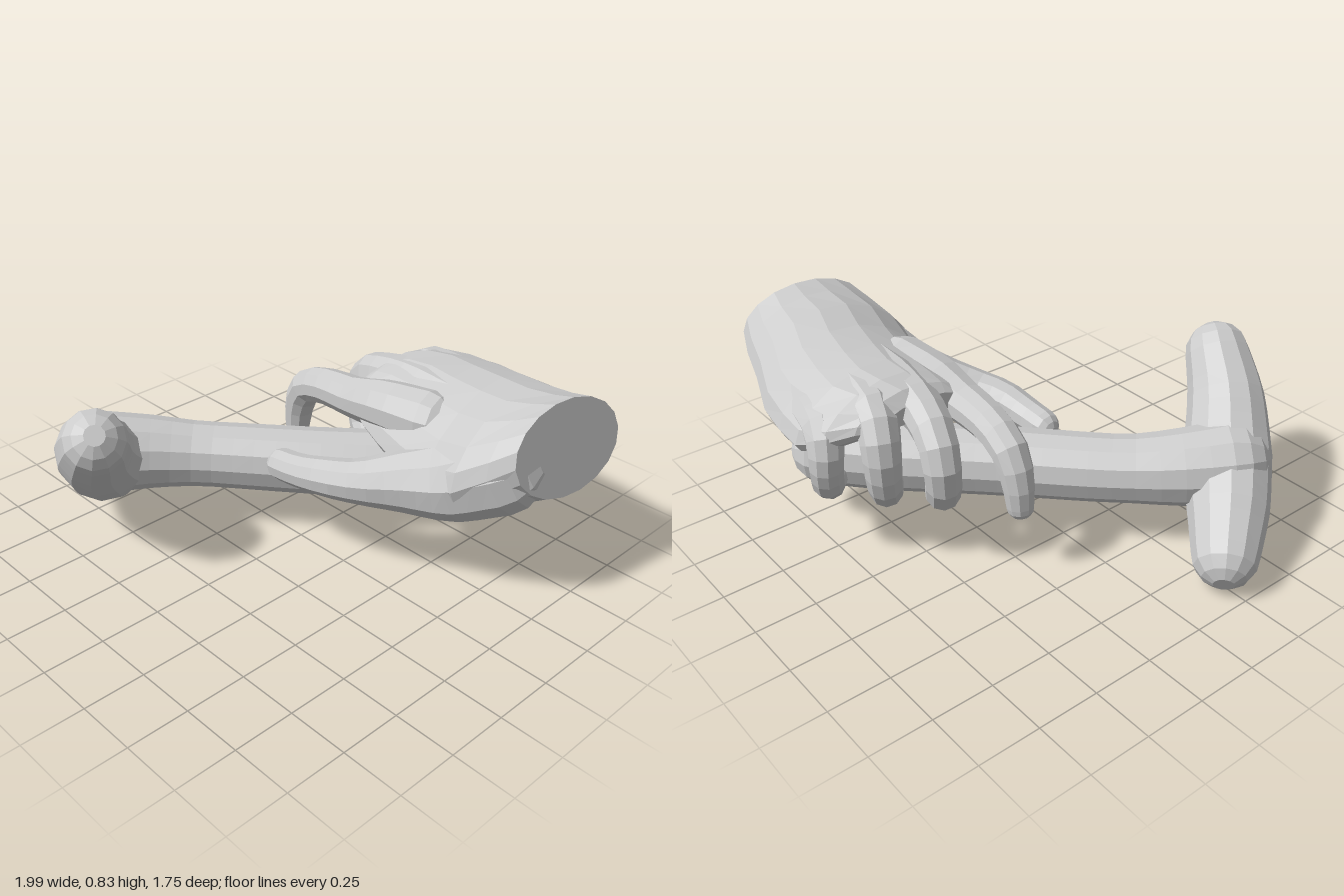
import * as THREE from 'three';

const material = new THREE.MeshStandardMaterial({ color: 0xcccccc, flatShading: true });

// Skin a list of rings (each an array of Vector3), closing both ends with a fan.
function skin(name, rings) {
  const n = rings[0].length, pos = [], idx = [];
  rings.forEach(r => r.forEach(p => pos.push(p.x, p.y, p.z)));
  for (let i = 0; i < rings.length - 1; i++) {
    for (let j = 0; j < n; j++) {
      const k = (j + 1) % n, a = i * n + j, b = i * n + k;
      idx.push(a, b, a + n, b, b + n, a + n);
    }
  }
  for (const end of [0, rings.length - 1]) {
    const c = new THREE.Vector3();
    rings[end].forEach(p => c.addScaledVector(p, 1 / n));
    const m = pos.length / 3;
    pos.push(c.x, c.y, c.z);
    for (let j = 0; j < n; j++) {
      const a = end * n + j, b = end * n + (j + 1) % n;
      idx.push(...(end ? [m, a, b] : [m, b, a]));
    }
  }
  const g = new THREE.BufferGeometry();
  g.setAttribute('position', new THREE.Float32BufferAttribute(pos, 3));
  g.setIndex(idx);
  g.computeVertexNormals();
  const mesh = new THREE.Mesh(g, material);
  mesh.name = name;
  return mesh;
}

// Round-ended tapering limb; each point is [x, y, z, radius].
function limb(name, pts, sides = 10, steps = 12) {
  const curve = new THREE.CatmullRomCurve3(pts.map(p => new THREE.Vector3(p[0], p[1], p[2])));
  const { tangents, normals, binormals } = curve.computeFrenetFrames(steps);
  const rings = [];
  const addRing = (i, bulge) => {
    const t = curve.getUtoTmapping(i / steps) * (pts.length - 1);
    const s = Math.min(Math.floor(t), pts.length - 2);
    const r = THREE.MathUtils.lerp(pts[s][3], pts[s + 1][3], t - s);
    const c = curve.getPointAt(i / steps).addScaledVector(tangents[i], r * Math.sin(bulge));
    const ring = [];
    for (let j = 0; j < sides; j++) {
      const a = j / sides * Math.PI * 2, q = r * Math.cos(bulge);
      ring.push(c.clone().addScaledVector(normals[i], q * Math.cos(a))
        .addScaledVector(binormals[i], q * Math.sin(a)));
    }
    rings.push(ring);
  };
  for (const b of [-1.25, -0.85, -0.42]) addRing(0, b);
  for (let i = 0; i <= steps; i++) addRing(i, 0);
  for (const b of [0.42, 0.85, 1.25]) addRing(steps, b);
  return skin(name, rings);
}

// Palm sections: [x, y, z, half width, half height, tilt, arch, slant]
function palm() {
  const sections = [
    [0.945, 0.65, -0.435, 0.265, 0.18, 0, 0, 1],
    [0.85, 0.615, -0.43, 0.31, 0.19, -0.01, 0.02, 0.7],
    [0.72, 0.585, -0.425, 0.355, 0.2, -0.03, 0.05, 0.3],
    [0.56, 0.575, -0.465, 0.38, 0.185, -0.03, 0.08, 0],
    [0.4, 0.59, -0.495, 0.375, 0.155, -0.02, 0.09, 0],
    [0.27, 0.605, -0.515, 0.36, 0.135, -0.01, 0.1, 0],
    [0.16, 0.62, -0.5, 0.32, 0.11, -0.01, 0.08, 0],
    [0.08, 0.63, -0.47, 0.26, 0.075, -0.01, 0.05, 0],
    [0.04, 0.625, -0.45, 0.2, 0.04, 0, 0.03, 0]
  ];
  const sides = 18;
  return skin('palm', sections.map(([x, y, z, hz, hy, tilt, arch, slant]) => {
    const ring = [];
    for (let j = 0; j < sides; j++) {
      const a = j / sides * Math.PI * 2, u = Math.cos(a), v = Math.sin(a);
      const dy = v * hy + tilt * u - arch * u * u;
      ring.push(new THREE.Vector3(x - slant * (0.22 * dy + 0.13 * u * hz), y + dy, z + u * hz));
    }
    return ring;
  }));
}

export function createModel() {
  const model = new THREE.Group();
  model.name = 'handHoldingHandle';

  // T-shaped handle: a slanted grip bar and the long shaft
  const handle = new THREE.Group();
  handle.name = 'handle';
  handle.add(
    limb('crossbar', [
      [-0.87, 0.13, 0.265, 0.13], [-0.75, 0.215, 0.4, 0.16], [-0.6, 0.335, 0.545, 0.175],
      [-0.46, 0.48, 0.67, 0.155], [-0.33, 0.605, 0.745, 0.13]], 12, 14),
    limb('shaft', [
      [-0.64, 0.33, 0.5, 0.17], [-0.55, 0.32, 0.37, 0.155], [-0.4, 0.305, 0.2, 0.135],
      [0, 0.292, -0.165, 0.14], [0.3, 0.287, -0.46, 0.142], [0.485, 0.29, -0.635, 0.14]], 12, 18)
  );

  // Hand gripping the shaft
  const hand = new THREE.Group();
  hand.name = 'hand';
  hand.add(
    palm(),
    limb('thumb', [
      [0.78, 0.55, -0.28, 0.17], [0.61, 0.46, -0.205, 0.16], [0.46, 0.43, -0.11, 0.125],
      [0.32, 0.41, 0, 0.088], [0.2, 0.4, 0.055, 0.078], [0.08, 0.38, 0.075, 0.068],
      [-0.02, 0.37, 0.08, 0.066]], 10, 14),
    limb('indexFinger', [
      [0.4, 0.6, -0.3, 0.12], [0.2, 0.595, -0.27, 0.105], [0.05, 0.575, -0.26, 0.085],
      [-0.12, 0.56, -0.265, 0.077], [-0.25, 0.51, -0.275, 0.073], [-0.305, 0.41, -0.28, 0.065],
      [-0.32, 0.3, -0.28, 0.054]]),
    limb('middleFinger', [
      [0.4, 0.61, -0.43, 0.12], [0.2, 0.625, -0.44, 0.105], [0.04, 0.61, -0.455, 0.088],
      [-0.09, 0.555, -0.485, 0.08], [-0.14, 0.44, -0.5, 0.073], [-0.09, 0.31, -0.47, 0.067],
      [0.02, 0.25, -0.41, 0.06]]),
    limb('ringFinger', [
      [0.4, 0.61, -0.57, 0.12], [0.25, 0.63, -0.59, 0.1], [0.12, 0.62, -0.615, 0.086],
      [0.045, 0.55, -0.645, 0.078], [0.03, 0.43, -0.65, 0.072], [0.07, 0.31, -0.62, 0.066],
      [0.18, 0.25, -0.54, 0.06]]),
    limb('littleFinger', [
      [0.44, 0.57, -0.71, 0.11], [0.32, 0.57, -0.745, 0.095], [0.23, 0.555, -0.775, 0.078],
      [0.19, 0.5, -0.795, 0.07], [0.19, 0.42, -0.8, 0.066], [0.23, 0.32, -0.775, 0.062],
      [0.33, 0.26, -0.7, 0.056]])
  );

  model.add(handle, hand);
  return model;
}
